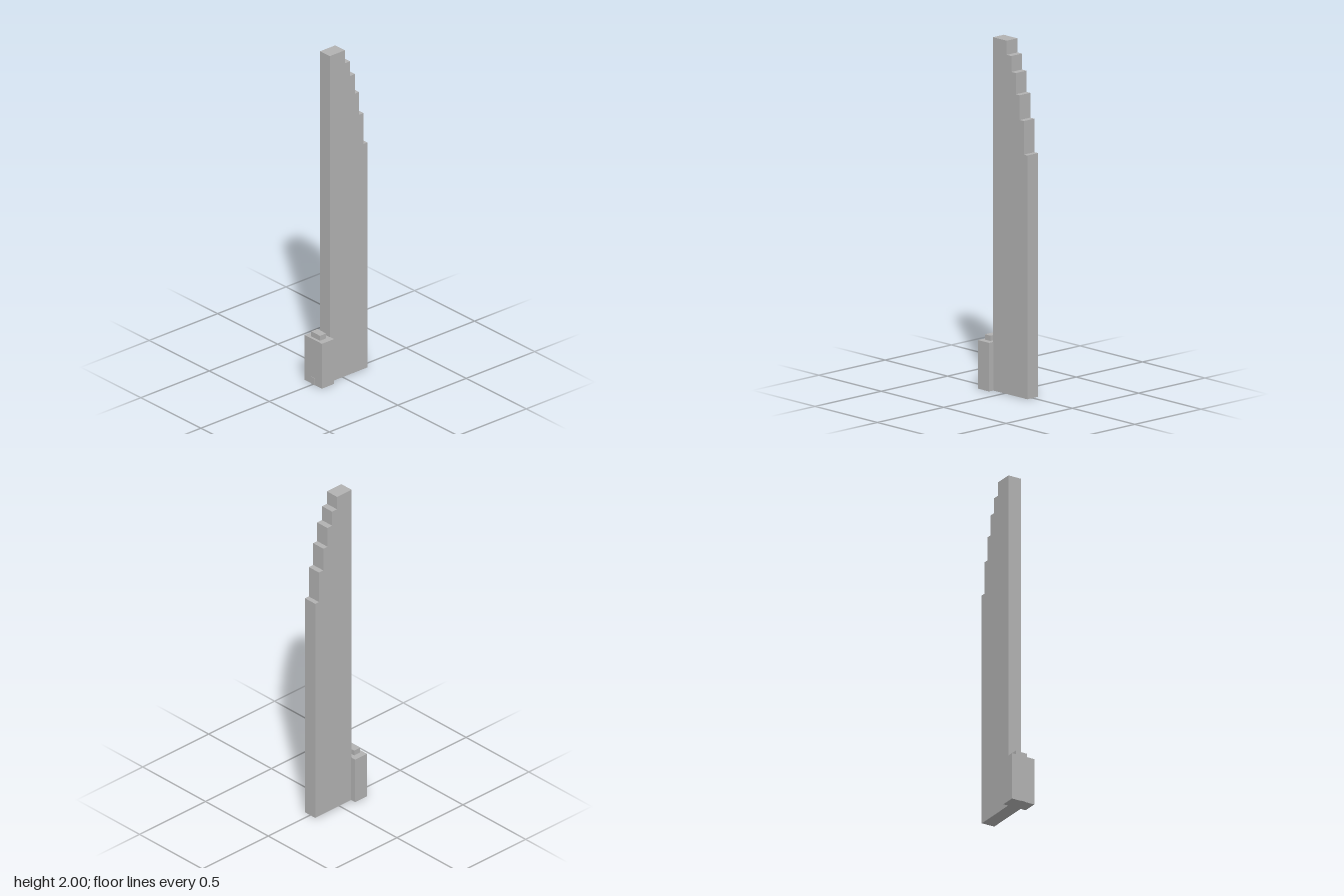
import * as THREE from 'three';

export function createModel() {
  const model = new THREE.Group();
  model.name = 'steppedTower';
  const concrete = new THREE.MeshStandardMaterial({ color: 0xb2b2b2 });
  concrete.name = 'concrete grey';

  const add = (name, geometry) => {
    const mesh = new THREE.Mesh(geometry, concrete);
    mesh.name = name;
    model.add(mesh);
  };
  // Box given by its lower and upper corners
  const block = (name, [x0, y0, z0], [x1, y1, z1]) =>
    add(name, new THREE.BoxGeometry(x1 - x0, y1 - y0, z1 - z0)
      .translate((x0 + x1) / 2, (y0 + y1) / 2, (z0 + z1) / 2));

  // Tower slab: stepped side outline, [z of the step's back, height]
  const steps = [
    [-0.182, 1.38], [-0.154, 1.57], [-0.121, 1.71],
    [-0.09, 1.83], [-0.054, 1.92], [-0.017, 2],
  ];
  const front = 0.093, width = 0.081;
  const outline = new THREE.Shape();
  outline.moveTo(-front, 0);
  outline.lineTo(-steps[0][0], 0);
  steps.forEach(([z, y], i) => {
    outline.lineTo(-z, y);
    outline.lineTo(i < steps.length - 1 ? -steps[i + 1][0] : -front, y);
  });
  outline.closePath();
  // Turned so the outline runs along z and the thickness along x
  add('tower', new THREE.ExtrudeGeometry(outline, { depth: width, bevelEnabled: false })
    .translate(0, 0, -width / 2).rotateY(Math.PI / 2));

  // Entrance building with its roof box and a thin door
  block('entranceBuilding', [-0.0725, 0, 0.09], [0.0725, 0.275, 0.179]);
  block('roofBox', [-0.037, 0.275, 0.117], [0.037, 0.305, 0.162]);
  block('door', [-0.015, 0, 0.179], [0.015, 0.041, 0.182]);

  return model;
}
